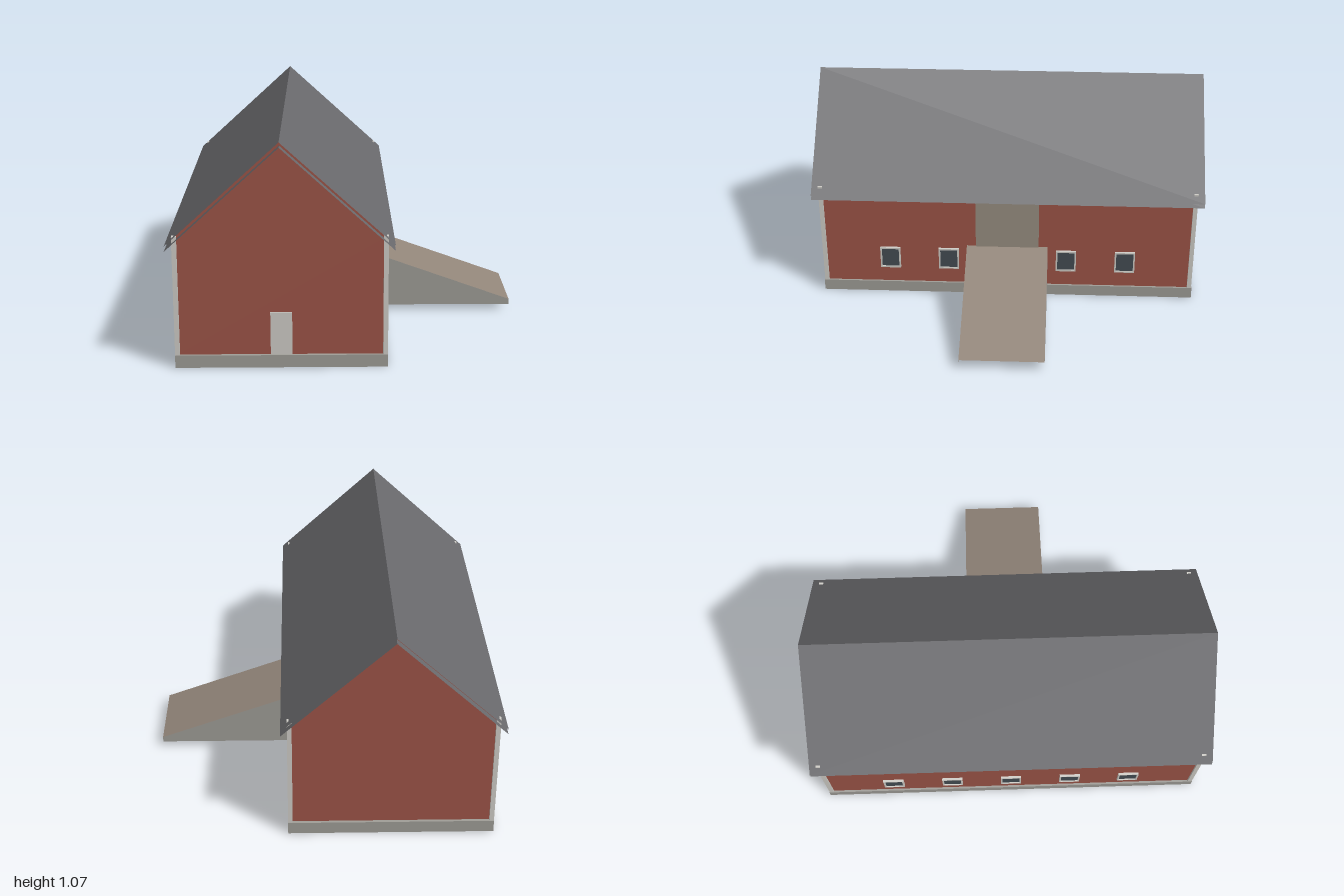
import * as THREE from 'three';

const CX = -0.315; // centre line of the barn in x

const mat = (color, side = THREE.FrontSide) =>
  new THREE.MeshStandardMaterial({ color, side, flatShading: true });

const red = mat(0x9e5548);
const stone = mat(0xa09e98);
const trim = mat(0xd0cec8);
const glass = mat(0x454d54);
const planks = mat(0x998f82);
const roofing = mat(0x69696c, THREE.DoubleSide);
const rampDeck = mat(0x93867a, THREE.DoubleSide);
const rampStone = mat(0xa09e98, THREE.DoubleSide);

function add(parent, name, geometry, material, x = 0, y = 0, z = 0) {
  const mesh = new THREE.Mesh(geometry, material);
  mesh.name = name;
  mesh.position.set(x, y, z);
  parent.add(mesh);
  return mesh;
}

const box = (w, h, d) => new THREE.BoxGeometry(w, h, d);

// Thin sheet that follows a line in the xy plane and runs along z
function sheet(x0, y0, x1, y1, halfDepth) {
  const g = new THREE.BufferGeometry();
  g.setAttribute('position', new THREE.Float32BufferAttribute([
    x0, y0, halfDepth, x1, y1, halfDepth, x1, y1, -halfDepth, x0, y0, -halfDepth,
  ], 3));
  g.setIndex(x1 > x0 ? [0, 1, 2, 0, 2, 3] : [0, 2, 1, 0, 3, 2]);
  g.computeVertexNormals();
  return g;
}

const outline = (points) => new THREE.Shape(points.map(([x, y]) => new THREE.Vector2(x, y)));

// Framed window in a long wall; side is +1 or -1
function makeWindow(side, z) {
  const group = new THREE.Group();
  group.name = 'window';
  const w = 0.105, h = 0.122, t = 0.008;
  const frame = outline([[-w / 2, -h / 2], [w / 2, -h / 2], [w / 2, h / 2], [-w / 2, h / 2]]);
  const a = w / 2 - t, b = h / 2 - t;
  frame.holes.push(outline([[-a, -b], [-a, b], [a, b], [a, -b]]));
  add(group, 'windowFrame',
    new THREE.ExtrudeGeometry(frame, { depth: 0.012, bevelEnabled: false }), trim);
  add(group, 'windowPane', box(a * 2, b * 2, 0.006), glass, 0, 0, 0.003);
  group.position.set(CX + side * 0.48, 0.21, z);
  group.rotation.y = side * Math.PI / 2;
  return group;
}

export function createModel() {
  const barn = new THREE.Group();
  barn.name = 'barn';

  // Stone base
  add(barn, 'foundation', box(0.98, 0.06, 1.94), stone, CX, 0.03, 0);

  // Walls with gables in one body
  const gable = outline([[-0.48, 0.06], [0.48, 0.06], [0.48, 0.626], [0, 1.064], [-0.48, 0.626]]);
  add(barn, 'walls',
    new THREE.ExtrudeGeometry(gable, { depth: 1.91, bevelEnabled: false }), red, CX, 0, -0.955);

  // Corner boards and double roof sheets
  for (const side of [-1, 1]) {
    for (const end of [-1, 1]) {
      add(barn, 'cornerBoard', box(0.022, 0.57, 0.022), trim,
        CX + side * 0.479, 0.345, end * 0.956);
    }
    add(barn, 'roof', sheet(0, 1.07, side * 0.52, 0.594, 1), roofing, CX);
    add(barn, 'roofUnderside', sheet(0, 1.046, side * 0.52, 0.57, 1), roofing, CX);
  }

  // Doors
  add(barn, 'frontDoor', box(0.1, 0.205, 0.012), trim, CX, 0.1625, 0.955);
  add(barn, 'rampDoor', box(0.02, 0.3, 0.326), planks, CX + 0.482, 0.435, 0);

  // Windows: five on the left-hand wall, four beside the ramp on the other
  for (let i = -2; i <= 2; i++) {
    barn.add(makeWindow(-1, i * 0.306));
    if (i !== 0) barn.add(makeWindow(1, i * 0.306));
  }

  // Ramp: sloping deck on two side walls, open below
  const ramp = new THREE.Group();
  ramp.name = 'ramp';
  const x0 = 0.172, x1 = 0.833;
  add(ramp, 'rampDeck', sheet(x0, 0.295, x1, 0.057, 0.21), rampDeck);
  const cheek = outline([[x0, 0.03], [x1, 0.03], [x1, 0.057], [x0, 0.295]]);
  for (const end of [-1, 1]) {
    add(ramp, 'rampSide', new THREE.ShapeGeometry(cheek), rampStone, 0, 0, end * 0.21);
  }
  barn.add(ramp);

  return barn;
}
